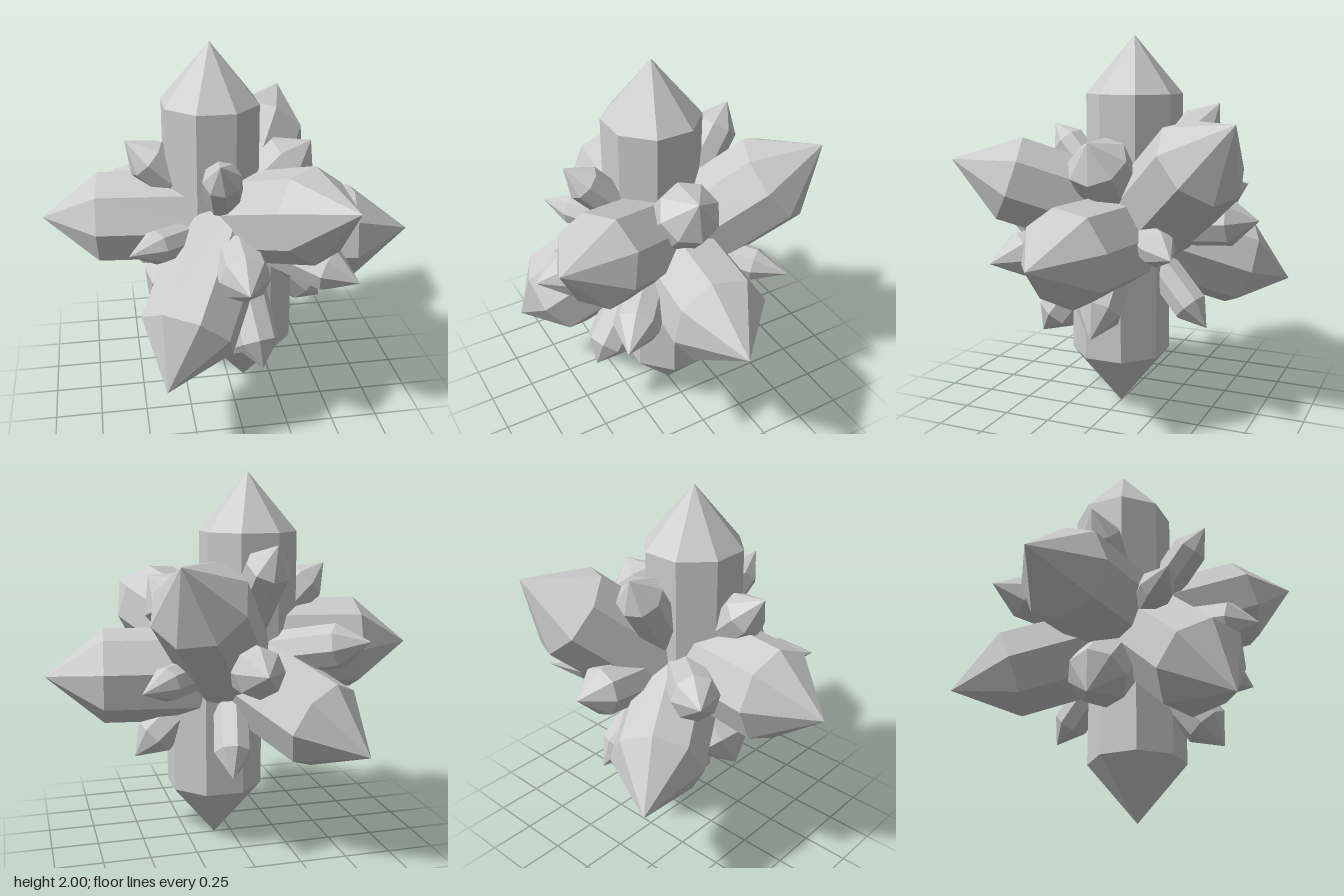
import * as THREE from 'three';
import { mergeGeometries } from 'three/addons/utils/BufferGeometryUtils.js';

const SIDES = 8;
const UP = new THREE.Vector3(0, 1, 0);
const CENTRE = new THREE.Vector3(0, 1, 0);

// Eight-sided prism with a pointed cap, standing on y = 0, with faceted normals
function crystalGeometry(radius, length, cap, roll) {
  const body = length - cap;
  const prism = new THREE.CylinderGeometry(radius, radius, body, SIDES).translate(0, body / 2, 0);
  const point = new THREE.ConeGeometry(radius, cap, SIDES, 1, true).translate(0, body + cap / 2, 0);
  const geometry = mergeGeometries([prism, point]).rotateY(roll).toNonIndexed();
  geometry.computeVertexNormals();
  return geometry;
}

// Large crystals: tip relative to the centre, axis direction, roll about the axis
const LARGE = [
  { name: 'verticalCrystal', tip: [-0.095, 1, 0], dir: [0, 1, 0], radius: 0.263, roll: Math.PI / 8 },
  { name: 'sideCrystal', tip: [0.995, -0.065, 0.085], dir: [0.993, 0.01, 0.114], radius: 0.253, roll: 0.1 },
  { name: 'frontCrystal', tip: [0.492, 0.36, 0.793], dir: [0.486, 0.335, 0.81], radius: 0.241, roll: 0.25 },
  { name: 'rearCrystal', tip: [0.415, 0.575, -0.71], dir: [0.41, 0.635, -0.654], radius: 0.254, roll: 0 },
];

// Small crystals grow straight out of the centre
const SMALL = [
  { tip: [-0.01, -0.055, 0.735], radius: 0.13, cap: 0.15 },
  { tip: [-0.115, 0.515, 0.495], radius: 0.098, cap: 0.14 },
  { tip: [0.6, -0.155, 0.515], radius: 0.12, cap: 0.17 },
  { tip: [-0.56, 0.06, 0.45], radius: 0.09, cap: 0.18 },
  { tip: [-0.115, 0.645, -0.475], radius: 0.12, cap: 0.14 },
  { tip: [-0.54, 0.51, 0.02], radius: 0.118, cap: 0.15 },
  { tip: [0.44, 0.465, 0.035], radius: 0.164, cap: 0.14 },
];

export function createModel() {
  const model = new THREE.Group();
  model.name = 'crystalCluster';
  const stone = new THREE.MeshStandardMaterial({ color: 0xcccccc });
  stone.name = 'grey stone';

  // Each crystal has a twin pointing the opposite way through the centre
  function addPair(name, tip, dir, radius, length, cap, roll) {
    const geometry = crystalGeometry(radius, length, cap, roll);
    const axis = dir.clone().normalize();
    const base = tip.clone().addScaledVector(axis, -length);
    for (const sign of [1, -1]) {
      const mesh = new THREE.Mesh(geometry, stone);
      mesh.name = sign > 0 ? name : name + 'Opposite';
      mesh.quaternion.setFromUnitVectors(UP, axis);
      if (sign < 0) mesh.rotateX(Math.PI);
      mesh.position.copy(CENTRE).addScaledVector(base, sign);
      model.add(mesh);
    }
  }

  for (const c of LARGE) {
    addPair(c.name, new THREE.Vector3(...c.tip), new THREE.Vector3(...c.dir), c.radius, 1, 0.31, c.roll);
  }
  SMALL.forEach((c, i) => {
    const tip = new THREE.Vector3(...c.tip);
    addPair('smallCrystal' + (i + 1), tip, tip, c.radius, tip.length(), c.cap, 0);
  });

  return model;
}
